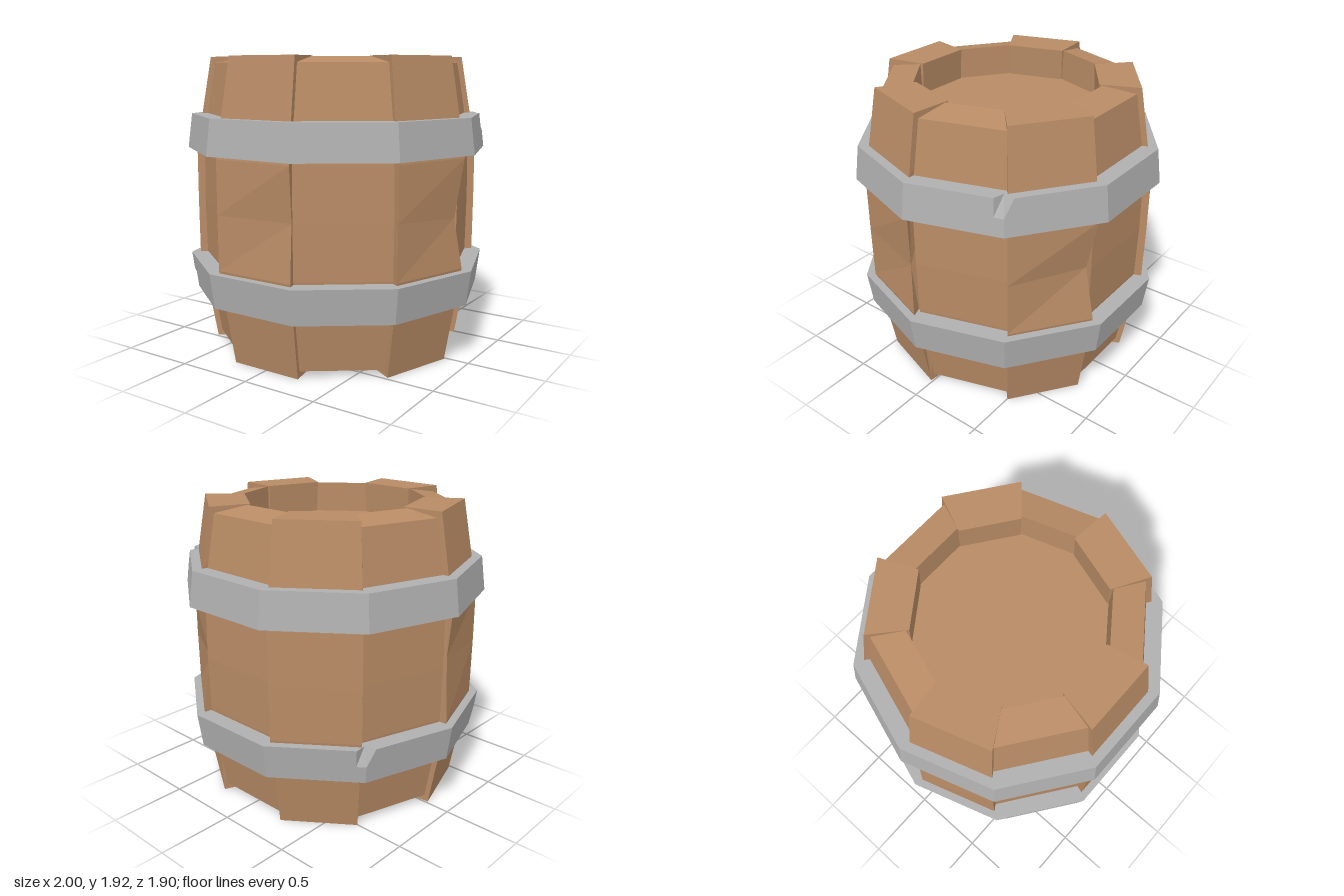
import * as THREE from 'three';

const SIDES = 10, STEP = (Math.PI * 2) / SIDES, TAN = Math.tan(STEP / 2);
const V = (x, y, z) => new THREE.Vector3(x, y, z);

// Joins two neighbouring section loops with a band of quads
function band(out, a, b) {
  for (let i = 0; i < a.length; i++) {
    const j = (i + 1) % a.length;
    out.push(b[i], a[i], a[j], b[i], a[j], b[j]);
  }
}

function cap(out, loop, flip) {
  const flat = loop.map((p) => new THREE.Vector2(p.x, p.y));
  for (const [i, j, k] of THREE.ShapeUtils.triangulateShape(flat, [])) {
    out.push(loop[i], loop[flip ? k : j], loop[flip ? j : k]);
  }
}

function toGeometry(points) {
  const g = new THREE.BufferGeometry().setFromPoints(points);
  g.computeVertexNormals();
  return g;
}

// Stave profile: [distance from axis, height, half width]
const raisedProfile = [
  [0.80, 0, 0.245], [0.865, 0.38, 0.262], [0.903, 0.62, 0.274], [0.905, 0.97, 0.274],
  [0.903, 1.31, 0.274], [0.865, 1.55, 0.262], [0.80, 1.925, 0.245],
  [0.55, 1.925, 0.19], [0.565, 1.65, 0.185], [0.565, 0.28, 0.185], [0.55, 0, 0.19],
];
const recessedProfile = [
  [0.765, 0.04], [0.82, 0.38], [0.845, 0.62], [0.85, 0.97], [0.845, 1.31],
  [0.82, 1.55], [0.765, 1.885], [0.575, 1.92], [0.57, 1.65], [0.57, 0.28], [0.575, 0.01],
].map(([r, y], i) => [r, y, r * TAN + (i < 7 ? 0.018 : 0.004)]);

function staveGeometry(profile, dent) {
  const loops = [-1, 1].map((side) => profile.map(([r, y, w], i) => {
    const d = dent && dent.side === side && i === 3 ? dent : { depth: 0, shift: 0, rise: 0 };
    return V(r - d.depth, y + d.rise, side * (w - d.shift));
  }));
  const out = [];
  band(out, loops[0], loops[1]);
  cap(out, loops[1], false);
  cap(out, loops[0], true);
  return toGeometry(out);
}

// Hoop: a ten-sided ring; nicks maps a corner number to the edge that is chipped
function hoopGeometry(yBottom, rBottom, yTop, rTop, nicks) {
  const corner = (k) => V(Math.cos(k * STEP), 0, Math.sin(k * STEP));
  const column = (dir, chip) => {
    const rMid = (rBottom + rTop) / 2, yMid = (yBottom + yTop) / 2;
    return [
      [rBottom - (chip === 'bottom' ? 0.07 : 0), yBottom], [rMid, yMid],
      [rTop - (chip === 'top' ? 0.07 : 0), yTop], [0.86, yTop], [0.86, yBottom],
    ].map(([r, y]) => V(dir.x * r, y, dir.z * r));
  };
  const columns = [];
  for (let k = 0; k < SIDES; k++) {
    const c = corner(k);
    if (nicks[k]) columns.push(column(c.clone().lerp(corner(k - 1), 0.1)));
    columns.push(column(c, nicks[k]));
    if (nicks[k]) columns.push(column(c.clone().lerp(corner(k + 1), 0.1)));
  }
  const out = [];
  columns.forEach((col, i) => band(out, col, columns[(i + 1) % columns.length]));
  return toGeometry(out);
}

export function createModel() {
  const wood = new THREE.MeshStandardMaterial({ color: 0xb88b65, flatShading: true });
  wood.name = 'wood';
  const metal = new THREE.MeshStandardMaterial({ color: 0xb0b0b0, flatShading: true });
  metal.name = 'metal';

  const barrel = new THREE.Group();
  barrel.name = 'barrel';
  const add = (name, geometry, material) => {
    const mesh = new THREE.Mesh(geometry, material);
    mesh.name = name;
    barrel.add(mesh);
    return mesh;
  };

  // Staves, alternately raised and recessed, a few with chipped edges
  const dents = {
    0: { side: -1, depth: 0.03, shift: 0.05, rise: -0.03 },
    2: { side: -1, depth: 0.04, shift: 0.015, rise: 0 },
    4: { side: 1, depth: 0.025, shift: 0.01, rise: 0.08 },
    8: { side: -1, depth: 0.06, shift: 0.04, rise: 0 },
  };
  for (let k = 0; k < SIDES; k++) {
    const raised = k % 2 === 0;
    const stave = add(raised ? 'raisedStave' : 'recessedStave',
      staveGeometry(raised ? raisedProfile : recessedProfile, dents[k]), wood);
    stave.rotation.y = -(k + 0.5) * STEP;
  }

  // Sunken lid and base, as the ends of one core
  const core = add('lidAndBase', new THREE.CylinderGeometry(0.64, 0.64, 1.52, SIDES), wood);
  core.position.y = 0.96;
  core.rotation.y = Math.PI / 2;

  // Hoops, widest towards the belly
  add('lowerHoop', hoopGeometry(0.38, 0.97, 0.605, 1, { 4: 'bottom', 6: 'top' }), metal);
  add('upperHoop', hoopGeometry(1.33, 1, 1.555, 0.97, { 9: 'top' }), metal);
  return barrel;
}
